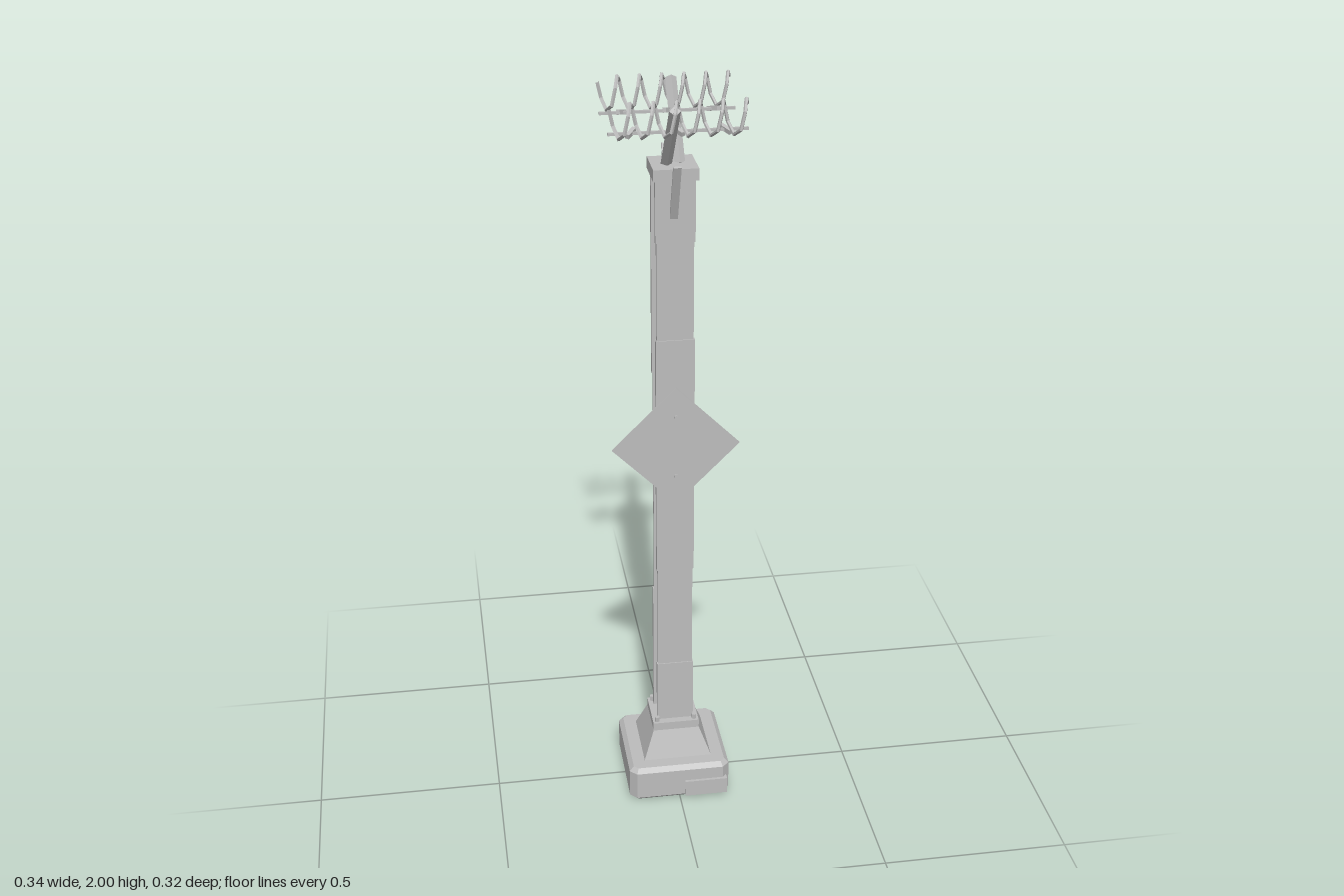
import * as THREE from 'three';

const concrete = new THREE.MeshStandardMaterial({ color: 0xbcbcbc, flatShading: true });
concrete.name = 'grey';

function add(parent, name, geometry, x = 0, y = 0, z = 0) {
  const mesh = new THREE.Mesh(geometry, concrete);
  mesh.name = name;
  mesh.position.set(x, y, z);
  parent.add(mesh);
  return mesh;
}

const box = (w, h, d) => new THREE.BoxGeometry(w, h, d);

// Square block with cut corners and bevelled top and bottom edges
function bevelledBlock(half, height, bevel) {
  const a = half - bevel, c = a - bevel;
  const shape = new THREE.Shape([
    [c, -a], [a, -c], [a, c], [c, a], [-c, a], [-a, c], [-a, -c], [-c, -a],
  ].map(([x, y]) => new THREE.Vector2(x, y)));
  const g = new THREE.ExtrudeGeometry(shape, {
    depth: height - 2 * bevel, bevelSize: bevel, bevelThickness: bevel, bevelSegments: 1,
  });
  return g.rotateX(-Math.PI / 2).translate(0, bevel, 0);
}

// Square frustum given by its half widths
function frustum(bottom, top, height) {
  const r = Math.SQRT2;
  return new THREE.CylinderGeometry(top * r, bottom * r, height, 4).rotateY(Math.PI / 4);
}

// Bar between two points in the plane of y and z
function bar(parent, name, geometryFor, x, [y0, z0], [y1, z1]) {
  const length = Math.hypot(y1 - y0, z1 - z0);
  const mesh = add(parent, name, geometryFor(length), x, (y0 + y1) / 2, (z0 + z1) / 2);
  mesh.rotation.x = Math.atan2(z1 - z0, y1 - y0);
  return mesh;
}

// Six-turn coil of wire, bent in six straight pieces per turn
class Coil extends THREE.Curve {
  getPoint(t, target = new THREE.Vector3()) {
    const a = Math.PI * (5 / 6 + 12 * t);
    return target.set(-0.164 + 0.328 * t, 0.042 * Math.sin(a), 0.042 * Math.cos(a));
  }
  getPointAt(t, target) { return this.getPoint(t, target); }
}

export function createModel() {
  const model = new THREE.Group();
  model.name = 'fencePost';

  // Foot
  add(model, 'footing', bevelledBlock(0.14, 0.105, 0.012));
  add(model, 'pedestal', frustum(0.095, 0.062, 0.085), 0, 0.145, 0);
  add(model, 'collar', box(0.128, 0.026, 0.128), 0, 0.193, 0);
  for (const s of [1, -1]) {
    add(model, 'footPlate', box(0.118, 0.048, 0.02), 0.073 * s, 0.034, 0.138 * s);
    for (const t of [1, -1]) {
      add(model, 'collarBolt', new THREE.CylinderGeometry(0.007, 0.007, 0.016, 6), 0.052 * s, 0.212, 0.052 * t);
    }
  }

  // Grooved post: a web and two flanges with worn, uneven lengths
  add(model, 'postWeb', box(0.05, 1.6, 0.07), 0, 1.0, 0);
  const flanges = [
    [1, [0.2, 0.39, 0.69, 1.36, 1.62, 1.79]],
    [-1, [0.2, 0.59, 1.24, 1.79]],
  ];
  for (const [side, breaks] of flanges) {
    for (let i = 1; i < breaks.length; i++) {
      const h = breaks[i] - breaks[i - 1];
      const worn = i % 2 ? 0 : 0.003;
      add(model, 'postFlange', box(0.1 - 2 * worn, h, 0.014 - worn),
        0, breaks[i - 1] + h / 2, side * (0.037 - worn / 2));
    }
  }
  add(model, 'postCap', box(0.112, 0.03, 0.112), 0, 1.796, 0);

  // Diamond sign with two bolts and a backing strap
  const sign = new THREE.Group();
  sign.name = 'sign';
  sign.position.set(0, 1.067, 0.054);
  model.add(sign);
  add(sign, 'signPlate', box(0.236, 0.236, 0.005)).rotation.z = Math.PI / 4;
  for (const y of [0.085, -0.085]) {
    add(sign, 'signBolt', new THREE.CylinderGeometry(0.006, 0.006, 0.006, 6).rotateX(Math.PI / 2), 0, y, 0.004);
    add(sign, 'signBracket', box(0.08, 0.02, 0.012), 0, y, -0.007);
  }

  // Forked head, front and back
  for (const s of [1, -1]) {
    const head = new THREE.Group();
    head.name = s > 0 ? 'frontHead' : 'backHead';
    model.add(head);
    bar(head, 'arm', (l) => box(0.02, l, 0.02).rotateY(Math.PI / 4),
      -0.017 * s, [1.805, 0.002 * s], [1.98, 0.146 * s]);
    bar(head, 'strut', (l) => box(0.02, l, 0.006),
      -0.004, [1.67, 0.036 * s], [1.83, 0.099 * s]);
    add(head, 'coil', new THREE.TubeGeometry(new Coil(), 36, 0.0048, 5), 0, 1.9532, 0.12 * s);
    add(head, 'straightWire', box(0.336, 0.007, 0.007), 0, 1.914, 0.086 * s);
    // Slanted ties holding the coil to the straight wire
    for (const x of [-0.113, 0, 0.113]) {
      const tie = add(head, 'wireTie', box(0.01, 0.012, 0.036), x, 1.915, 0.086 * s);
      tie.rotation.set(0.3 * s, x > 0 || (x === 0 && s > 0) ? 0.6 : -0.6, 0);
    }
  }
  return model;
}
